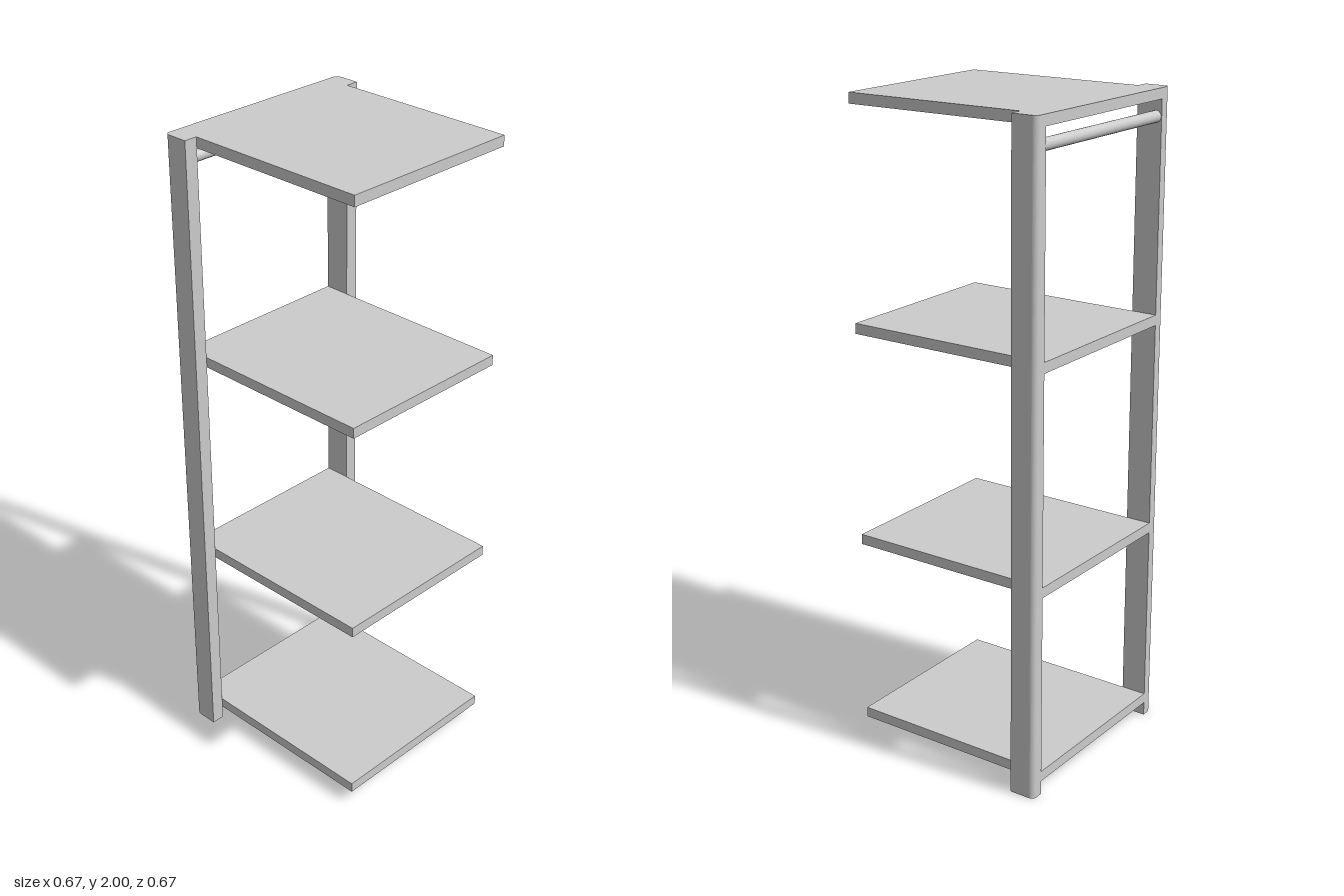
import * as THREE from 'three';

const HEIGHT = 2, INNER = 0.292, OUTER = 0.333, BACK = -0.333, POST_FRONT = -0.252;

export function createModel() {
  const group = new THREE.Group();
  const material = new THREE.MeshStandardMaterial({ color: 0xcccccc });
  const add = (name, geometry, x, y, z) => {
    const mesh = new THREE.Mesh(geometry, material);
    mesh.name = name;
    mesh.position.set(x, y, z);
    group.add(mesh);
    return mesh;
  };

  // Upright posts with a rounded outer back edge; shape y maps to -z
  const makePost = (side) => {
    const r = 0.017, s = new THREE.Shape();
    s.moveTo(side * INNER, -POST_FRONT);
    s.lineTo(side * OUTER, -POST_FRONT);
    s.lineTo(side * OUTER, -BACK - r);
    const centre = side > 0 ? 0 : Math.PI;
    s.absarc(side * (OUTER - r), -BACK - r, r, centre, Math.PI / 2, side < 0);
    s.lineTo(side * INNER, -BACK);
    s.closePath();
    const g = new THREE.ExtrudeGeometry(s, { depth: HEIGHT, bevelEnabled: false, curveSegments: 6 });
    return g.rotateX(-Math.PI / 2);
  };
  add('leftPost', makePost(1), 0, 0, 0);
  add('rightPost', makePost(-1), 0, 0, 0);

  // Four shelves, flush with the back of the posts
  const thickness = 0.032;
  [0.075, 0.667, 1.333, HEIGHT].forEach((top, i) => {
    add(`shelf${i + 1}`, new THREE.BoxGeometry(INNER * 2, thickness, 0.666), 0, top - thickness / 2, 0);
  });

  // Hanging rail under the top shelf
  const rail = new THREE.CylinderGeometry(0.0175, 0.0175, INNER * 2, 24).rotateZ(Math.PI / 2);
  add('hangingRail', rail, 0, 1.917, -0.314);

  return group;
}
